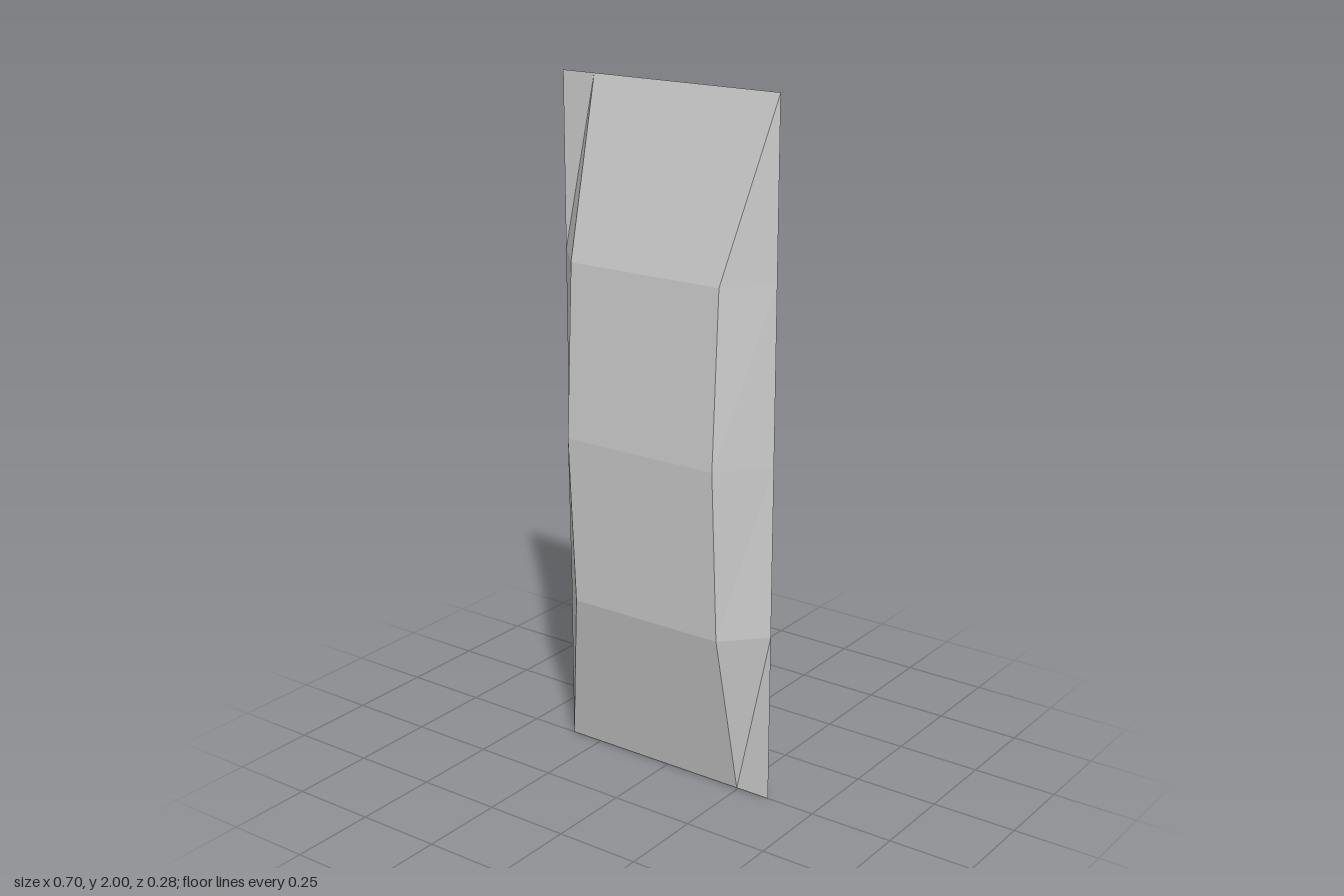
import * as THREE from 'three';

// Half thickness at each level, top to bottom; the ends close to a sharp edge
const DEPTHS = [0, 0.112, 0.138, 0.112, 0];
// Column positions across the width: thin edge, bevel, bevel, thin edge
const COLUMNS = [-0.352, -0.245, 0.245, 0.352];

// One bevelled face of the slab: a grid bulged forward between the side edges
function faceGeometry() {
  const geometry = new THREE.PlaneGeometry(0.704, 2, 3, 4);
  const pos = geometry.attributes.position;
  for (let i = 0; i < pos.count; i++) {
    const col = i % 4;
    const row = Math.floor(i / 4);
    const onEdge = col === 0 || col === 3;
    pos.setXYZ(i, COLUMNS[col], 2 - row * 0.5, onEdge ? 0 : DEPTHS[row]);
  }
  geometry.computeVertexNormals();
  return geometry;
}

export function createModel() {
  const group = new THREE.Group();
  group.name = 'bevelledSlab';
  const material = new THREE.MeshStandardMaterial({ color: 0xcccccc, flatShading: true });
  const geometry = faceGeometry();

  // Front and back are the same face, turned half around
  ['frontFace', 'backFace'].forEach((name, i) => {
    const face = new THREE.Mesh(geometry, material);
    face.name = name;
    face.rotation.y = i * Math.PI;
    group.add(face);
  });
  return group;
}
